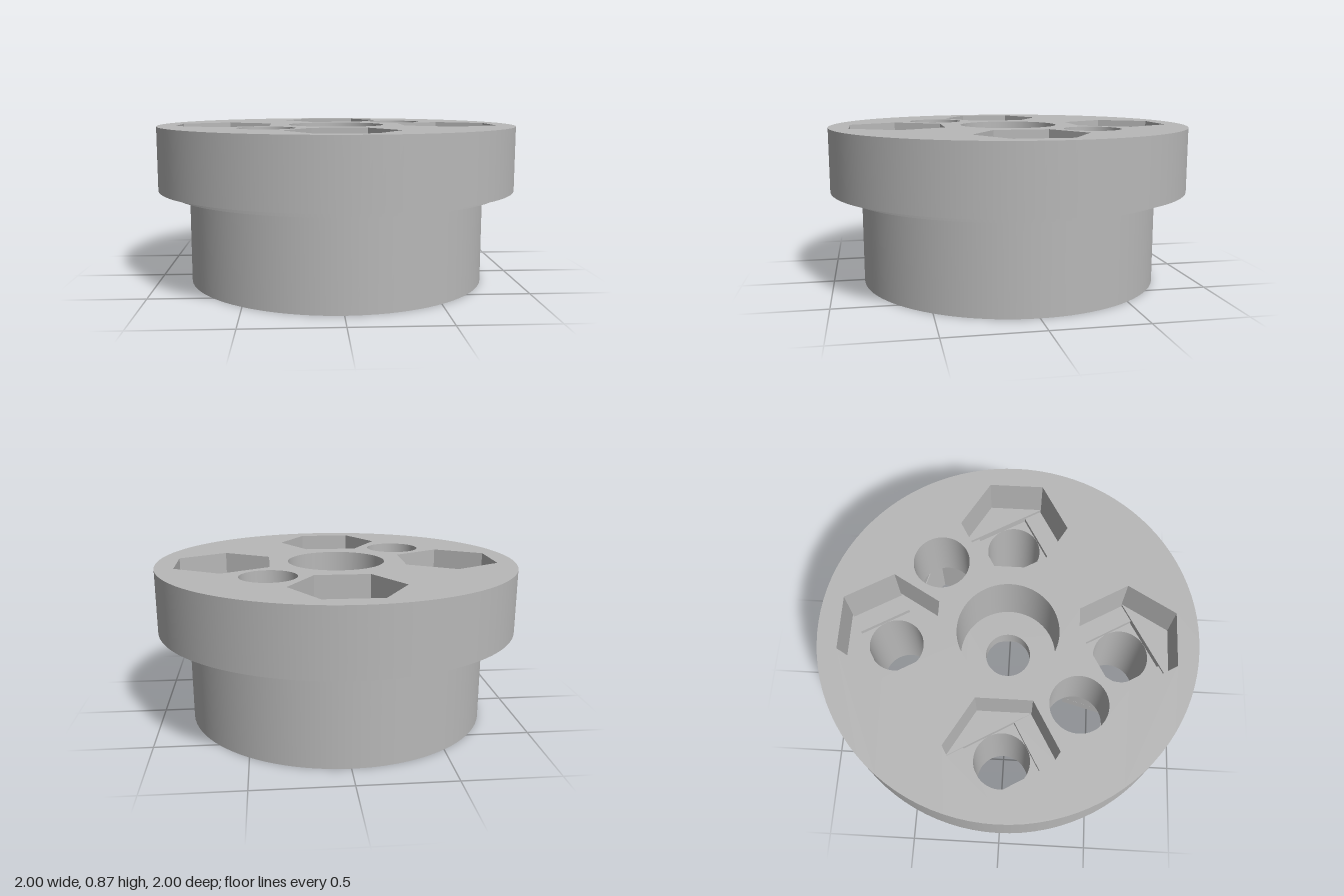
import * as THREE from 'three';

const grey = new THREE.MeshStandardMaterial({ color: 0xb8b8b8, side: THREE.DoubleSide });
grey.name = 'plain grey';

const N = 96; // sides of round parts
const TOP = 0.87, HOLE = 0.152, NUT = 0.295, BRIDGE = 0.03, S = 0.1525;
const rad = THREE.MathUtils.degToRad;

// Points are [x, z] pairs
const polar = (r, deg) => [r * Math.cos(rad(deg)), r * Math.sin(rad(deg))];
const ngon = (r, n = N, start = 0, cx = 0, cz = 0) =>
  Array.from({ length: n }, (_, i) => {
    const [x, z] = polar(r, start + (360 * i) / n);
    return [x + cx, z + cz];
  });
const toVectors = (pts) => pts.map(([x, z]) => new THREE.Vector2(x, z));

function add(parent, name, geometry) {
  const mesh = new THREE.Mesh(geometry, grey);
  mesh.name = name;
  parent.add(mesh);
  return mesh;
}

// Horizontal face at height y, with holes
function plate(parent, name, outline, holes, y) {
  const shape = new THREE.Shape(toVectors(outline));
  shape.holes = holes.map((h) => new THREE.Path(toVectors(h)));
  add(parent, name, new THREE.ShapeGeometry(shape).rotateX(Math.PI / 2).translate(0, y, 0));
}

// Flat-faced upright wall along a closed outline
function wall(parent, name, pts, y0, y1) {
  const pos = [];
  pts.forEach(([ax, az], i) => {
    const [bx, bz] = pts[(i + 1) % pts.length];
    pos.push(ax, y0, az, ax, y1, az, bx, y1, bz, ax, y0, az, bx, y1, bz, bx, y0, bz);
  });
  const geometry = new THREE.BufferGeometry();
  geometry.setAttribute('position', new THREE.Float32BufferAttribute(pos, 3));
  geometry.computeVertexNormals();
  add(parent, name, geometry);
}

// Smooth round wall
function tube(parent, name, r, y0, y1, x = 0, z = 0) {
  const geometry = new THREE.CylinderGeometry(r, r, y1 - y0, N, 1, true);
  add(parent, name, geometry.translate(x, (y0 + y1) / 2, z));
}

// Hexagonal nut pocket on the +x side, stepping through two bridge layers to a round hole
function nutPocket(parent, name, angle, dist, open, floor, end) {
  const group = new THREE.Group();
  group.name = name;
  group.rotation.y = -rad(angle);
  parent.add(group);
  const local = new THREE.Group();
  local.position.x = dist;
  group.add(local);

  const dir = Math.sign(floor - open) * BRIDGE;
  const hex = ngon(NUT, 6, 30);
  wall(local, 'nutWall', hex, open, floor);
  for (const a of [270, 90])
    plate(local, 'nutSeat', [a, a + 60, a + 120].map((d) => polar(NUT, d)), [], floor);

  // slot and square layers lie at 60 degrees
  const turned = new THREE.Group();
  turned.rotation.y = -rad(60);
  local.add(turned);
  const half = NUT * Math.cos(rad(30));
  const rect = (x0, x1) => [[x0, -S], [x1, -S], [x1, S], [x0, S]];
  wall(turned, 'slotWall', rect(-half, half), floor, floor + dir);
  plate(turned, 'slotEnd', rect(S, half), [], floor + dir);
  plate(turned, 'slotEnd', rect(-half, -S), [], floor + dir);
  wall(turned, 'squareWall', rect(-S, S), floor + dir, floor + 2 * dir);
  plate(turned, 'squareSeat', rect(-S, S), [ngon(HOLE)], floor + 2 * dir);
  const y = floor + 2 * dir;
  tube(local, 'screwHole', HOLE, Math.min(y, end), Math.max(y, end));
}

export function createModel() {
  const model = new THREE.Group();
  model.name = 'flangedHub';
  const quarter = [0, 90, 180, 270];
  const D = 0.63, E = 0.54; // distances of the two hole circles
  const RECESS = 0.363, DEPTH = 0.078, BORE_TOP = 0.27, BORE_LOW = 0.25, SHAFT = 0.126;
  const WEB_LOW = 0.41, WEB_TOP = 0.5;

  // Outer body: flange, thin step and barrel
  tube(model, 'flangeRim', 1, 0.52, TOP);
  plate(model, 'flangeUnderside', ngon(1), [ngon(0.92)], 0.52);
  tube(model, 'stepRim', 0.92, 0.49, 0.52);
  plate(model, 'stepUnderside', ngon(0.92), [ngon(0.83)], 0.49);
  tube(model, 'barrel', 0.83, 0, 0.49);

  // Top face with four nut pockets and two plain holes
  const topHoles = [ngon(BORE_TOP)];
  for (const a of quarter) topHoles.push(ngon(NUT, 6, a + 30, ...polar(D, a)));
  for (const a of [-45, 135]) topHoles.push(ngon(HOLE, N, 0, ...polar(E, a)));
  plate(model, 'topFace', ngon(1), topHoles, TOP);
  for (const a of quarter) nutPocket(model, 'topNutPocket', a, D, TOP, 0.63, 0);

  // Central bore with an inner web around the shaft hole
  tube(model, 'upperBore', BORE_TOP, WEB_TOP, TOP);
  plate(model, 'webTop', ngon(BORE_TOP), [ngon(SHAFT)], WEB_TOP);
  tube(model, 'shaftHole', SHAFT, WEB_LOW, WEB_TOP);
  plate(model, 'webUnderside', ngon(BORE_LOW), [ngon(SHAFT)], WEB_LOW);
  tube(model, 'lowerBore', BORE_LOW, DEPTH, WEB_LOW);

  // Underside: shallow round recess joined with two nut pockets
  const under = new THREE.Group();
  under.name = 'underside';
  under.rotation.y = rad(45);
  model.add(under);
  const apothem = NUT * Math.cos(rad(30)), h = NUT / 2;
  const meet = 27.6; // angle where the recess circle meets the hexagon
  const outline = [], seat = [];
  for (const s of [1, -1]) {
    const put = (list, x, z) => list.push([s * x, s * z]);
    put(outline, E, -NUT);
    put(outline, E + apothem, -h);
    put(outline, E + apothem, h);
    put(outline, E, NUT);
    put(seat, E - apothem, -h);
    put(seat, E - apothem, h);
    for (let i = 0; i <= 32; i++) {
      const p = polar(RECESS, meet + ((180 - 2 * meet) * i) / 32);
      put(outline, ...p);
      put(seat, ...p);
    }
  }
  const screwHoles = quarter.map((a) => ngon(HOLE, N, 0, ...polar(D, a + 45)));
  plate(under, 'bottomFace', ngon(0.83), [outline, ...screwHoles], 0);
  wall(under, 'recessWall', outline, 0, DEPTH);
  plate(under, 'recessSeat', seat, [ngon(BORE_LOW)], DEPTH);
  for (const a of [0, 180]) nutPocket(under, 'bottomNutPocket', a, E, DEPTH, 0.45, TOP);

  return model;
}
